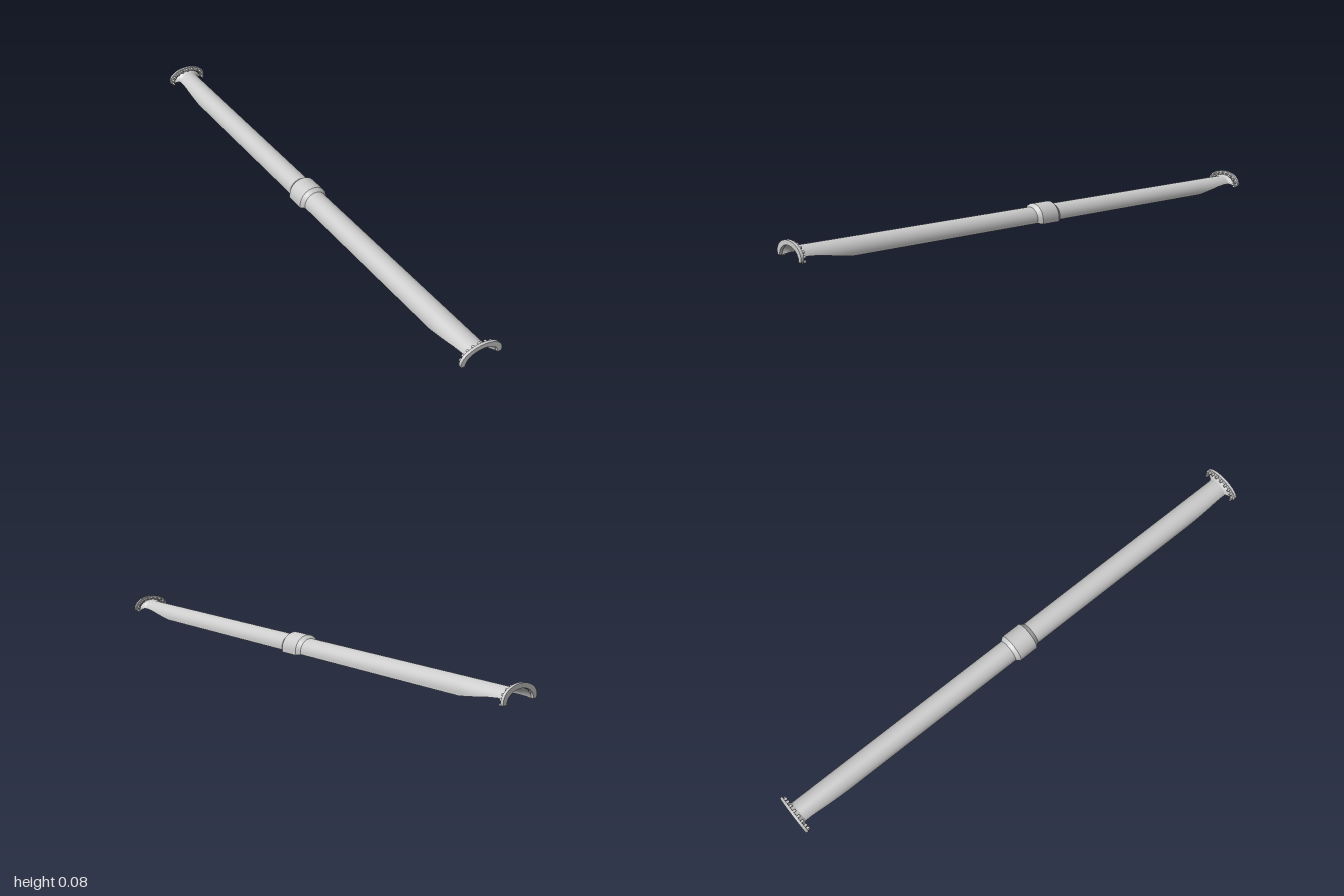
import * as THREE from 'three';

const material = new THREE.MeshStandardMaterial({ color: 0xcccccc, side: THREE.DoubleSide });
const SEG = 28;
const SPRING = 0.013; // height where the arch meets its straight legs

// Arch outline: half ellipse with straight legs, or cut off above the spring line
function arch(rx, top, bottom) {
  const ry = top - SPRING;
  const start = bottom > SPRING ? Math.asin((bottom - SPRING) / ry) : 0;
  const pts = [[rx * Math.cos(start), bottom]];
  for (let i = 0; i <= SEG; i++) {
    const a = start + (Math.PI - 2 * start) * i / SEG;
    pts.push([rx * Math.cos(a), SPRING + ry * Math.sin(a)]);
  }
  pts.push([-rx * Math.cos(start), bottom]);
  return pts;
}

// Open shell lofted through stations [z, half width, top, bottom], with z increasing
function shell(name, stations) {
  const pos = [], idx = [], n = SEG + 3;
  stations.forEach(([z, rx, top, bottom], s) => {
    arch(rx, top, bottom).forEach(([x, y]) => pos.push(x, y, z));
    if (s === 0) return;
    for (let i = 0; i < n - 1; i++) {
      const a = (s - 1) * n + i, b = a + n;
      idx.push(a, a + 1, b, a + 1, b + 1, b);
    }
  });
  const g = new THREE.BufferGeometry();
  g.setAttribute('position', new THREE.Float32BufferAttribute(pos, 3));
  g.setIndex(idx);
  g.computeVertexNormals();
  const mesh = new THREE.Mesh(g, material);
  mesh.name = name;
  return mesh;
}

function ellipsePoints(rx, ry, cy, bottom) {
  const a0 = Math.asin((bottom - cy) / ry), pts = [];
  for (let i = 0; i <= 32; i++) {
    const a = a0 + (Math.PI - 2 * a0) * i / 32;
    pts.push(new THREE.Vector2(rx * Math.cos(a), cy + ry * Math.sin(a)));
  }
  return pts;
}

// One half: tube with its cut-away end, flare, flange plate and bolts
function createHalf() {
  const half = new THREE.Group();
  half.add(shell('tube', [
    [0.05, 0.043, 0.056, 0.004], [0.80, 0.043, 0.056, 0.004], [0.84, 0.043, 0.056, 0.010],
    [0.88, 0.043, 0.056, 0.017], [0.92, 0.043, 0.056, 0.024], [0.95, 0.043, 0.056, 0.027],
    [0.975, 0.043, 0.056, 0.027],
  ]));
  half.add(shell('endFlare', [
    [0.975, 0.043, 0.056, 0.027], [0.982, 0.047, 0.057, 0.025], [0.992, 0.061, 0.060, 0.018],
  ]));

  const outline = [...ellipsePoints(0.077, 0.046, 0.03, 0.019),
    ...ellipsePoints(0.061, 0.039, 0.021, 0.019).reverse()];
  const plate = new THREE.ExtrudeGeometry(new THREE.Shape(outline), { depth: 0.01, bevelEnabled: false });
  const flange = new THREE.Mesh(plate, material);
  flange.name = 'flange';
  flange.position.z = 0.99;
  half.add(flange);

  // Bolt heads on the inward face of the flange
  const boltGeometry = new THREE.CylinderGeometry(0.005, 0.005, 0.01, 8).rotateX(Math.PI / 2);
  for (let i = 0; i < 11; i++) {
    const a = -0.17 + (Math.PI + 0.34) * i / 10;
    const bolt = new THREE.Mesh(boltGeometry, material);
    bolt.name = 'bolt';
    bolt.position.set(0.067 * Math.cos(a), 0.026 + 0.042 * Math.sin(a), 0.985);
    half.add(bolt);
  }
  return half;
}

export function createModel() {
  const model = new THREE.Group();

  // Central collar: straight band with a sloped shoulder on each side
  model.add(shell('collarBand', [[-0.037, 0.054, 0.067, 0], [0.037, 0.054, 0.067, 0]]));
  model.add(shell('collarFrontShoulder', [[0.037, 0.054, 0.067, 0], [0.052, 0.043, 0.056, 0.003]]));
  model.add(shell('collarBackShoulder', [[-0.052, 0.043, 0.056, 0.003], [-0.037, 0.054, 0.067, 0]]));

  const front = createHalf();
  front.name = 'frontHalf';
  const back = createHalf();
  back.name = 'backHalf';
  back.rotation.y = Math.PI;
  model.add(front, back);
  return model;
}
